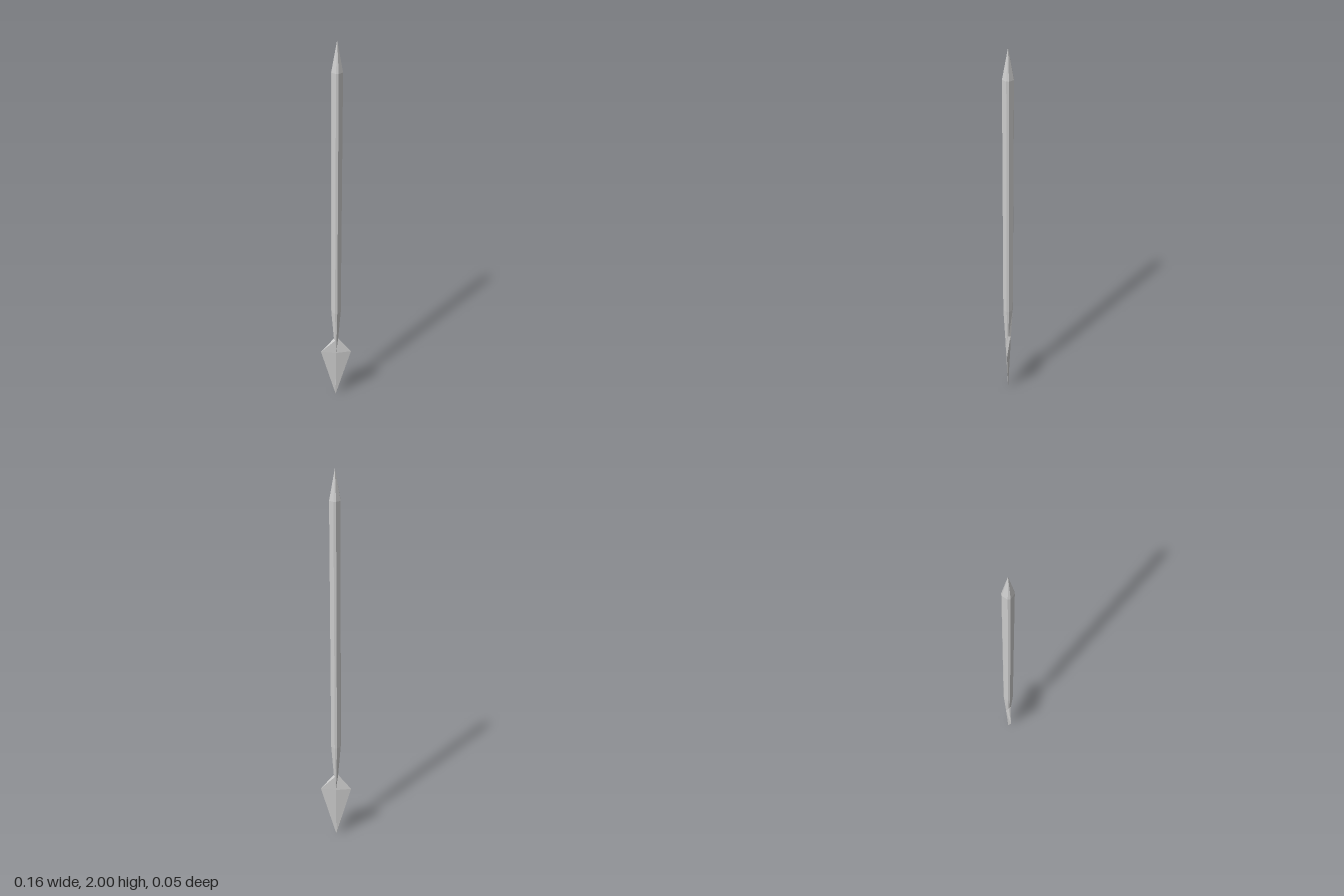
import * as THREE from 'three';

// Joins equal-length rings of [x, y, z] points (listed bottom to top) into a capped solid
function loft(rings) {
  const n = rings[0].length;
  const position = [], index = [];
  rings.forEach((ring) => ring.forEach((p) => position.push(...p)));
  for (let r = 0; r < rings.length - 1; r++) {
    for (let i = 0; i < n; i++) {
      const a = r * n + i, b = r * n + (i + 1) % n;
      index.push(a, a + n, b, b, a + n, b + n);
    }
  }
  const last = (rings.length - 1) * n;
  for (let i = 1; i < n - 1; i++) {
    index.push(0, i, i + 1);
    index.push(last, last + i + 1, last + i);
  }
  const geometry = new THREE.BufferGeometry();
  geometry.setAttribute('position', new THREE.Float32BufferAttribute(position, 3));
  geometry.setIndex(index);
  geometry.computeVertexNormals();
  return geometry;
}

// Diamond with trimmed corners: half-width w, half-depth d, centred on cx
function shaftRing(y, cx, w, d) {
  const k = 0.23;
  return [[1, k], [k, 1], [-k, 1], [-1, k], [-1, -k], [-k, -1], [k, -1], [1, -k]]
    .map(([x, z]) => [cx + x * w, y, z * d]);
}

// Plain diamond section for the blade
function bladeRing(y, cx, w, d) {
  return [[1, 0], [0, 1], [-1, 0], [0, -1]].map(([x, z]) => [cx + x * w, y, z * d]);
}

export function createModel() {
  const group = new THREE.Group();
  const material = new THREE.MeshStandardMaterial({ color: 0xcccccc, flatShading: true });
  const add = (name, geometry) => {
    const mesh = new THREE.Mesh(geometry, material);
    mesh.name = name;
    group.add(mesh);
  };

  // Shaft, leaning slightly to +x, narrowing into the blade socket
  add('shaft', loft([
    shaftRing(0.31, -0.001, 0.002, 0.013),
    shaftRing(0.385, -0.001, 0.011, 0.016),
    shaftRing(0.57, -0.001, 0.025, 0.025),
    shaftRing(1.86, 0.004, 0.026, 0.026),
  ]));

  // Pointed butt at the top end
  add('buttSpike', loft([
    shaftRing(1.86, 0.004, 0.026, 0.026),
    shaftRing(2.0, 0.004, 0.0005, 0.0005),
  ]));

  // Leaf-shaped blade pointing down
  add('blade', loft([
    bladeRing(0, -0.003, 0.0005, 0.0005),
    bladeRing(0.3, -0.001, 0.082, 0.013),
    bladeRing(0.39, -0.001, 0.011, 0.014),
  ]));

  return group;
}
